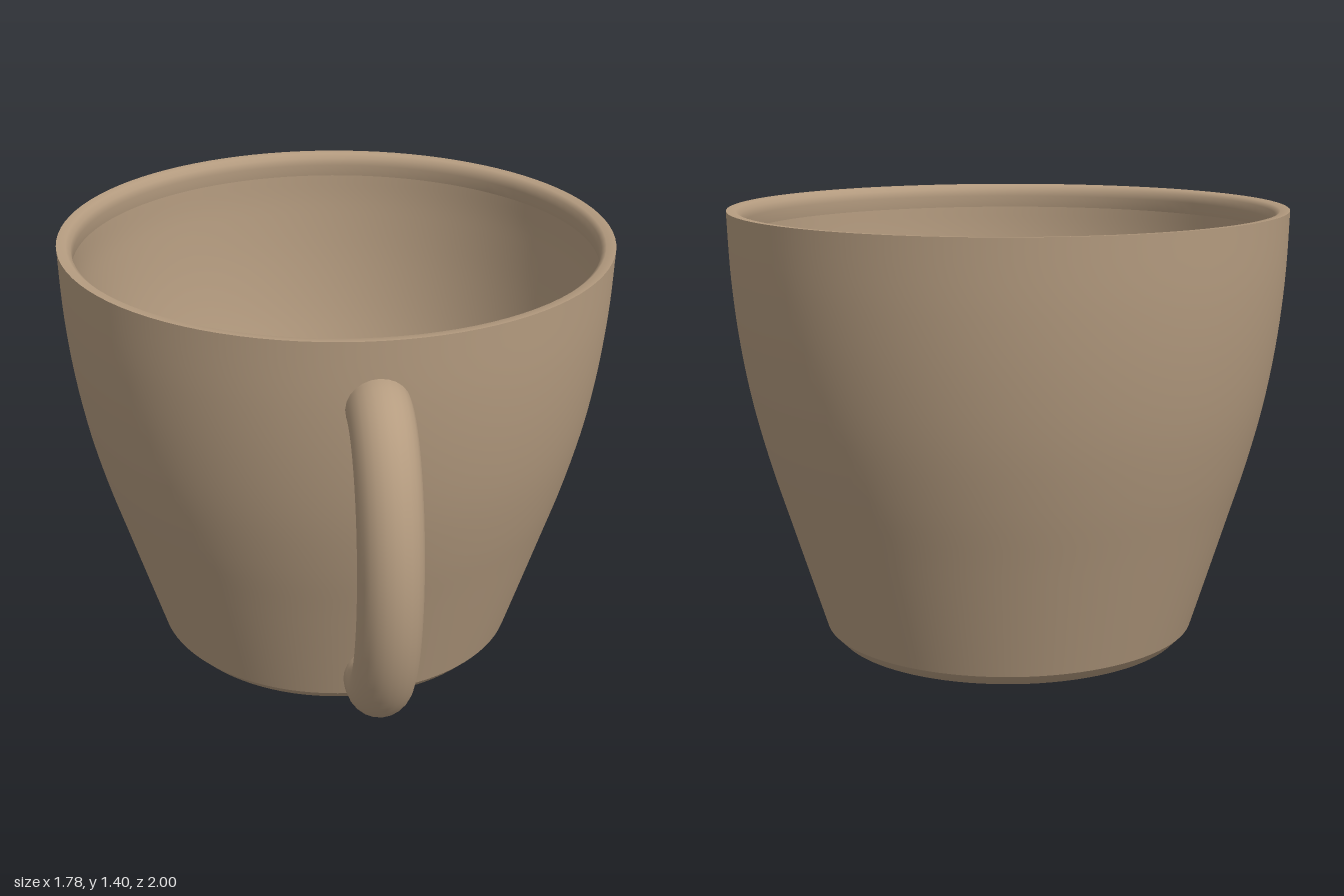
import * as THREE from 'three';

const clay = new THREE.MeshStandardMaterial({ color: 0xb59c80 });
clay.name = 'clay beige';

// Turns a smooth curve through [radius, height] points into a surface of revolution
function turned(name, points, smooth = true) {
  let profile = points.map(([r, y]) => new THREE.Vector2(r, y));
  if (smooth) profile = new THREE.SplineCurve(profile).getPoints(32);
  const mesh = new THREE.Mesh(new THREE.LatheGeometry(profile, 96), clay);
  mesh.name = name;
  return mesh;
}

export function createModel() {
  const model = new THREE.Group();
  model.name = 'mug';

  // Bowl, standing slightly behind the origin to leave room for the handle
  const bowl = new THREE.Group();
  bowl.name = 'bowl';
  bowl.position.z = -0.11;
  bowl.add(
    turned('base', [[0, 0], [0.55, 0], [0.57, 0.004], [0.605, 0.04]], false),
    turned('outerWall', [
      [0.605, 0.04], [0.655, 0.2], [0.717, 0.4], [0.778, 0.6],
      [0.828, 0.8], [0.862, 1], [0.882, 1.2], [0.89, 1.4],
    ]),
    turned('rim', [[0.89, 1.4], [0.86, 1.398], [0.845, 1.385], [0.84, 1.36], [0.846, 1.32]], false),
    turned('innerWall', [
      [0.846, 1.32], [0.842, 1.2], [0.822, 1], [0.788, 0.8],
      [0.738, 0.6], [0.685, 0.4], [0.645, 0.25],
    ]),
    turned('floor', [[0.645, 0.25], [0.635, 0.22], [0.615, 0.202], [0.58, 0.2], [0, 0.2]], false),
  );

  // Handle: half-ellipse tube standing out radially, with closed ends
  const handle = new THREE.Group();
  handle.name = 'handle';
  const endX = 0.87, midY = 0.735, reach = 0.257, rise = 0.455, thickness = 0.095;
  const arc = [];
  for (let i = 0; i <= 24; i++) {
    const a = Math.PI * (i / 24 - 0.5);
    arc.push(new THREE.Vector3(endX + reach * Math.cos(a), midY + rise * Math.sin(a), 0));
  }
  const grip = new THREE.Mesh(
    new THREE.TubeGeometry(new THREE.CatmullRomCurve3(arc), 64, thickness, 24), clay);
  grip.name = 'grip';
  handle.add(grip);
  for (const side of [-1, 1]) {
    const cap = new THREE.Mesh(new THREE.CircleGeometry(thickness, 24), clay);
    cap.name = side > 0 ? 'upperEnd' : 'lowerEnd';
    cap.position.set(endX, midY + side * rise, 0);
    cap.rotation.y = -Math.PI / 2;
    handle.add(cap);
  }
  handle.rotation.y = -Math.atan2(0.9, 0.433);
  bowl.add(handle);

  model.add(bowl);
  return model;
}
